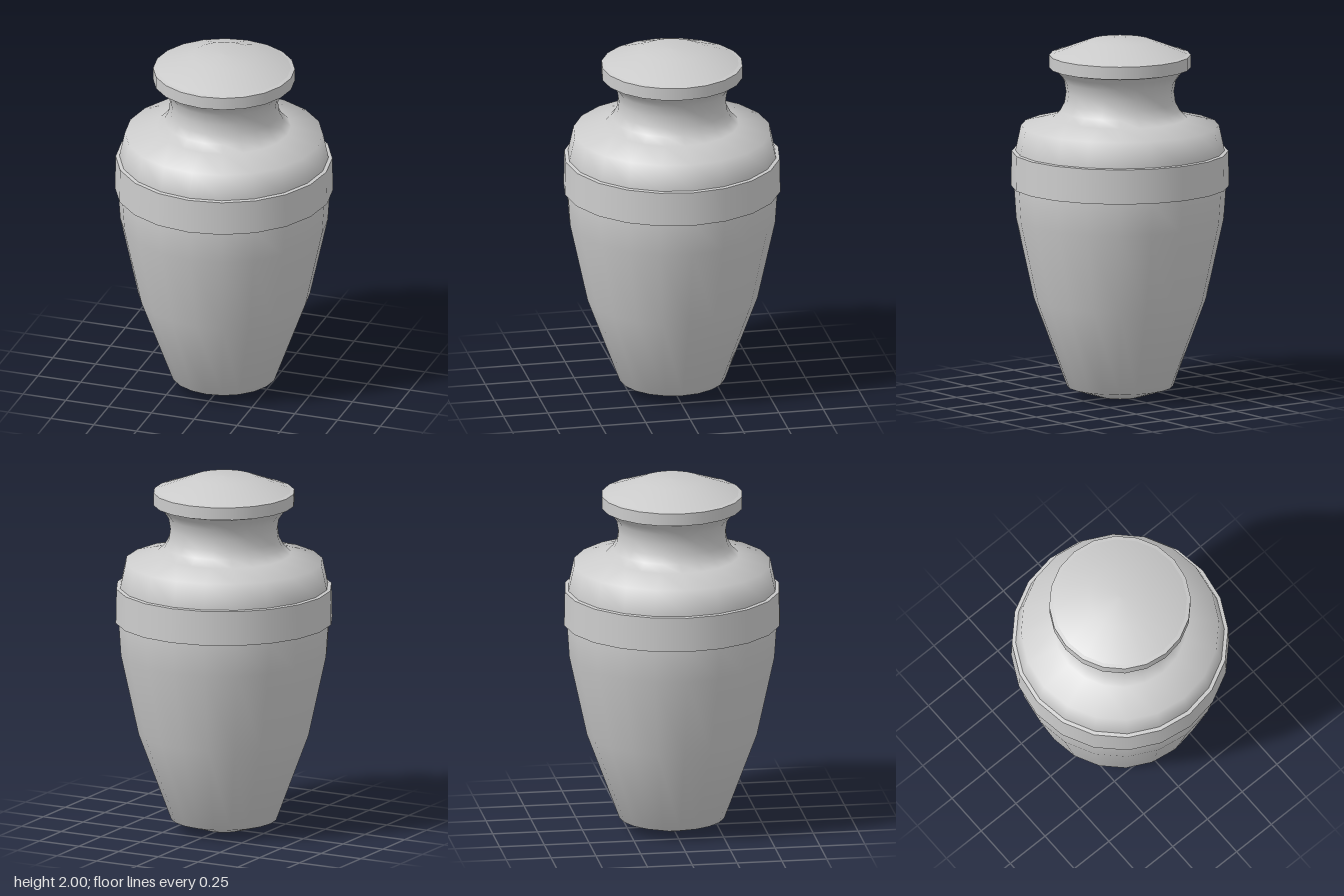
import * as THREE from 'three';

const SIDES = 20;
const material = new THREE.MeshStandardMaterial({ color: 0xcccccc });

// Turned part from [radius, height] points listed bottom to top, smooth along its profile
function turned(name, profile) {
  const points = profile.map(([r, y]) => new THREE.Vector2(r, y));
  const mesh = new THREE.Mesh(new THREE.LatheGeometry(points, SIDES), material);
  mesh.name = name;
  return mesh;
}

// Turned part whose profile corners stay sharp: one strip per profile segment
function turnedSharp(name, profile) {
  const group = new THREE.Group();
  group.name = name;
  for (let i = 0; i < profile.length - 1; i++) {
    group.add(turned(name + 'Face' + (i + 1), [profile[i], profile[i + 1]]));
  }
  return group;
}

export function createModel() {
  const urn = new THREE.Group();
  urn.name = 'urn';

  // Rounded foot, tapering belly, shoulder and waisted neck
  urn.add(turned('body', [
    [0, 0], [0.12, 0.005], [0.293, 0.06], [0.475, 0.55], [0.573, 1.0],
    [0.585, 1.18], [0.577, 1.38], [0.547, 1.52], [0.37, 1.565],
    [0.33, 1.605], [0.306, 1.65], [0.298, 1.71], [0.308, 1.77],
    [0.335, 1.81], [0.37, 1.845],
  ]));

  // Raised band around the shoulder
  urn.add(turnedSharp('band', [
    [0.57, 1.18], [0.602, 1.183], [0.598, 1.376], [0.57, 1.38],
  ]));

  // Lid rim with a shallow dome on top
  urn.add(turnedSharp('lidRim', [
    [0.29, 1.845], [0.391, 1.845], [0.391, 1.915], [0.37, 1.92],
  ]));
  urn.add(turned('lidDome', [[0.37, 1.92], [0.175, 1.995], [0, 2.0]]));

  return urn;
}
